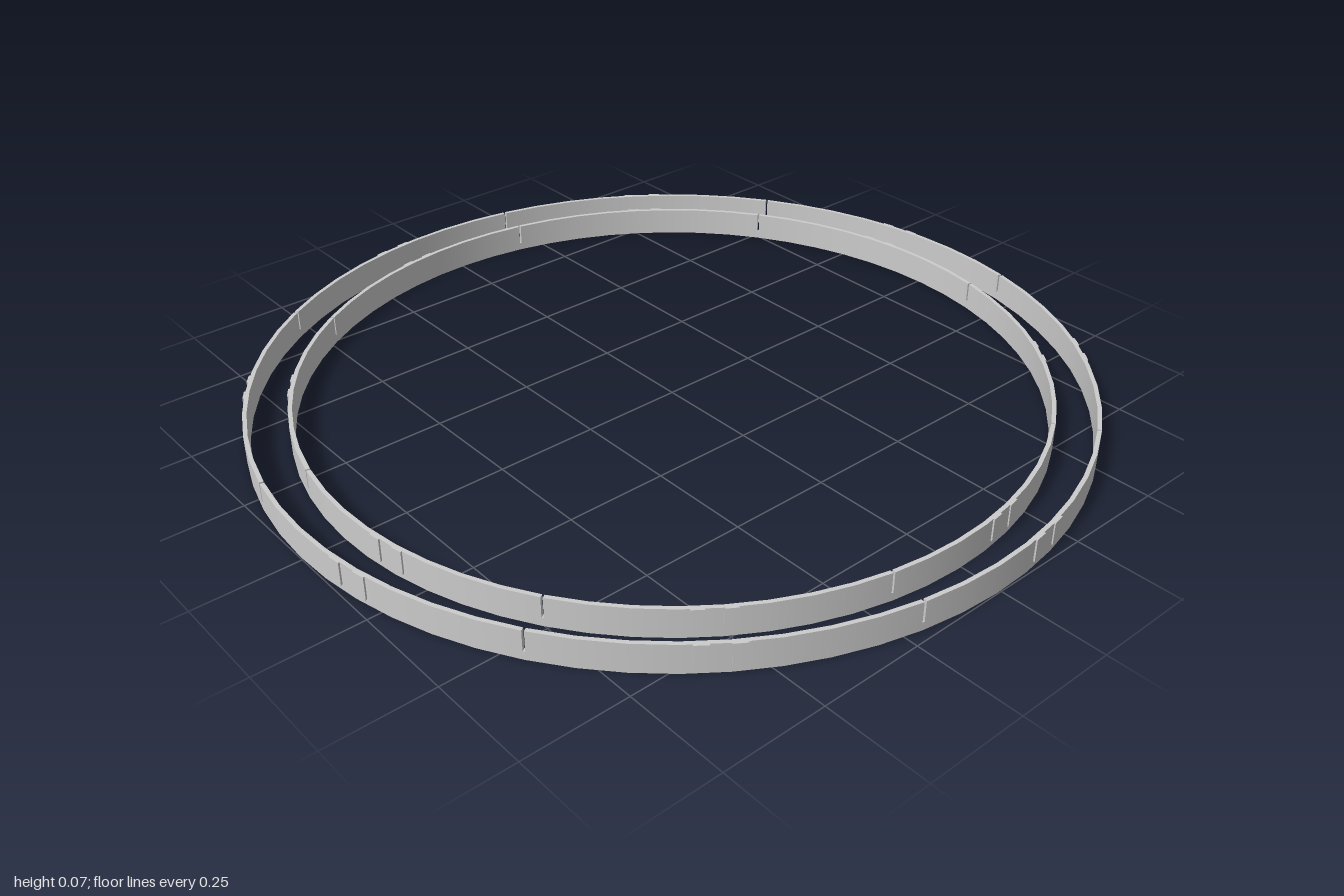
import * as THREE from 'three';

const HEIGHT = 0.07, WALL = 0.01, SEGMENTS = 8;
const rad = THREE.MathUtils.degToRad;
const material = new THREE.MeshStandardMaterial({ color: 0xcccccc });

// Wraps a flat geometry (x = arc length, z = outward offset) around the y axis
function wrap(geometry, radius, centreAngle) {
  const p = geometry.attributes.position, n = geometry.attributes.normal;
  const normal = new THREE.Vector3(), up = new THREE.Vector3(0, 1, 0);
  for (let i = 0; i < p.count; i++) {
    const a = centreAngle + p.getX(i) / radius;
    const r = radius + p.getZ(i);
    p.setXYZ(i, r * Math.sin(a), p.getY(i), r * Math.cos(a));
    normal.fromBufferAttribute(n, i).applyAxisAngle(up, a);
    n.setXYZ(i, normal.x, normal.y, normal.z);
  }
  return geometry;
}

// Curved wall piece whose outer face lies on the given radius
function wallPiece(radius, centre, span, height, steps) {
  const box = new THREE.BoxGeometry(radius * span, height, WALL, steps, 1, 1);
  box.translate(0, height / 2, -WALL / 2);
  return wrap(box, radius, centre);
}

// Slim raised clip with a rounded lower end
function clip(radius, centre) {
  const w = radius * rad(0.9), low = 0.01, c = 0.008;
  const s = new THREE.Shape();
  s.moveTo(-w, HEIGHT);
  s.lineTo(-w, low + c);
  s.quadraticCurveTo(-w, low, -w + c, low);
  s.lineTo(w - c, low);
  s.quadraticCurveTo(w, low, w, low + c);
  s.lineTo(w, HEIGHT);
  s.closePath();
  const g = new THREE.ExtrudeGeometry(s, { depth: 0.005, bevelEnabled: false, curveSegments: 4 });
  g.translate(0, 0, -0.002);
  return wrap(g, radius, centre);
}

function ring(name, radius) {
  const group = new THREE.Group();
  group.name = name;
  const add = (part, geometry) => {
    const mesh = new THREE.Mesh(geometry, material);
    mesh.name = part;
    group.add(mesh);
  };
  const pitch = (2 * Math.PI) / SEGMENTS, gap = rad(0.3);
  for (let i = 0; i < SEGMENTS; i++) {
    const seam = rad(33) + i * pitch;
    // Wall segment, with a narrow seam above a low joining bridge
    add('wallSegment', wallPiece(radius, seam + pitch / 2, pitch - gap, HEIGHT, 8));
    add('seamBridge', wallPiece(radius, seam, gap, 0.02, 1));
    // Pair of clips near the middle of the segment
    for (const side of [-1, 1]) add('clip', clip(radius, seam + rad(21.3 + side * 2.1)));
  }
  return group;
}

export function createModel() {
  const model = new THREE.Group();
  model.name = 'concentricRings';
  model.add(ring('outerRing', 0.998), ring('innerRing', 0.897));
  return model;
}
